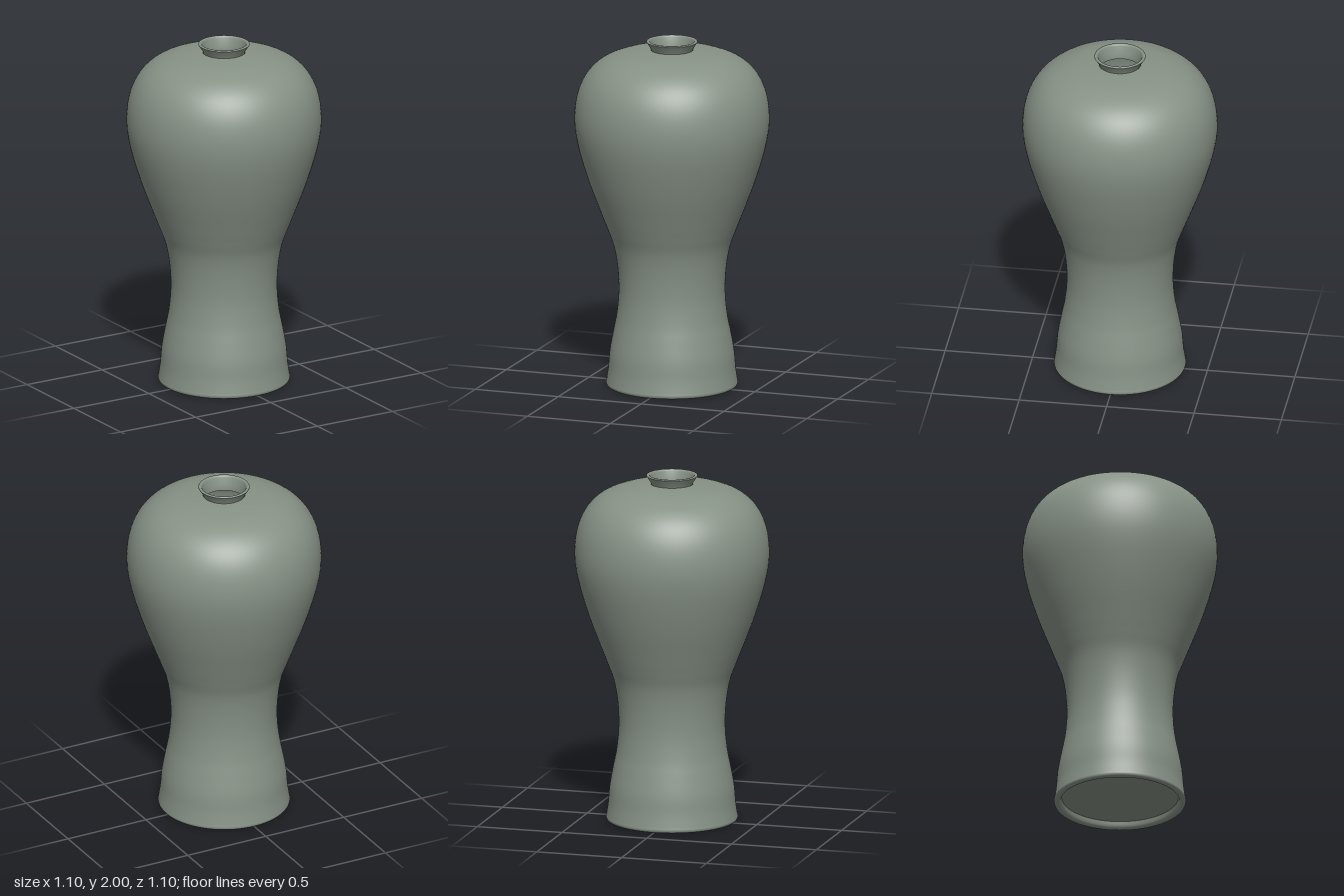
import * as THREE from 'three';

const SEGMENTS = 96;

// Revolve a profile of [radius, height] pairs; curved profiles get a spline.
function revolve(name, pairs, material, divisions = 0) {
  let points = pairs.map(([r, y]) => new THREE.Vector2(r, y));
  if (divisions) points = new THREE.SplineCurve(points).getPoints(divisions);
  points.forEach((p) => { p.x = Math.max(p.x, 0); });
  const mesh = new THREE.Mesh(new THREE.LatheGeometry(points, SEGMENTS), material);
  mesh.name = name;
  return mesh;
}

export function createModel() {
  const glaze = new THREE.MeshStandardMaterial({ color: 0x879286 });
  glaze.name = 'celadonGlaze';
  const vase = new THREE.Group();
  vase.name = 'vase';

  // Outer wall from foot to shoulder
  const wall = [
    [0.371, 0.03], [0.361, 0.1], [0.352, 0.2], [0.332, 0.31], [0.313, 0.41],
    [0.301, 0.54], [0.307, 0.68], [0.329, 0.81], [0.365, 0.91], [0.4, 1.0],
    [0.475, 1.2], [0.533, 1.4], [0.552, 1.55], [0.535, 1.69], [0.485, 1.8],
    [0.405, 1.877], [0.3, 1.922], [0.2, 1.94], [0.12, 1.947],
  ];
  vase.add(revolve('body', wall, glaze, 90));

  // Rounded foot ring around a recessed base
  vase.add(revolve('footRing', [
    [0.33, 0.04], [0.335, 0.015], [0.345, 0.002], [0.358, 0],
    [0.369, 0.006], [0.373, 0.017], [0.371, 0.03],
  ], glaze, 24));
  vase.add(revolve('base', [[0, 0.04], [0.33, 0.04]], glaze));

  // Flared neck with a rounded lip
  vase.add(revolve('neck', [[0.116, 1.942], [0.122, 1.958], [0.141, 1.988]], glaze));
  vase.add(revolve('lip', [
    [0.141, 1.988], [0.145, 1.994], [0.142, 1.999], [0.136, 2],
    [0.129, 1.998], [0.125, 1.992],
  ], glaze, 16));
  vase.add(revolve('mouth', [[0.125, 1.992], [0.11, 1.945], [0.11, 1.915]], glaze));

  // Inner wall and floor seen through the mouth
  const inside = wall.slice(1, -2).reverse().map(([r, y]) => [r - 0.03, y - (y > 1.75 ? 0.025 : 0)]);
  vase.add(revolve('innerWall', [[0.11, 1.915], ...inside], glaze, 60));
  vase.add(revolve('innerFloor', [[0.331, 0.1], [0, 0.1]], glaze));

  return vase;
}
